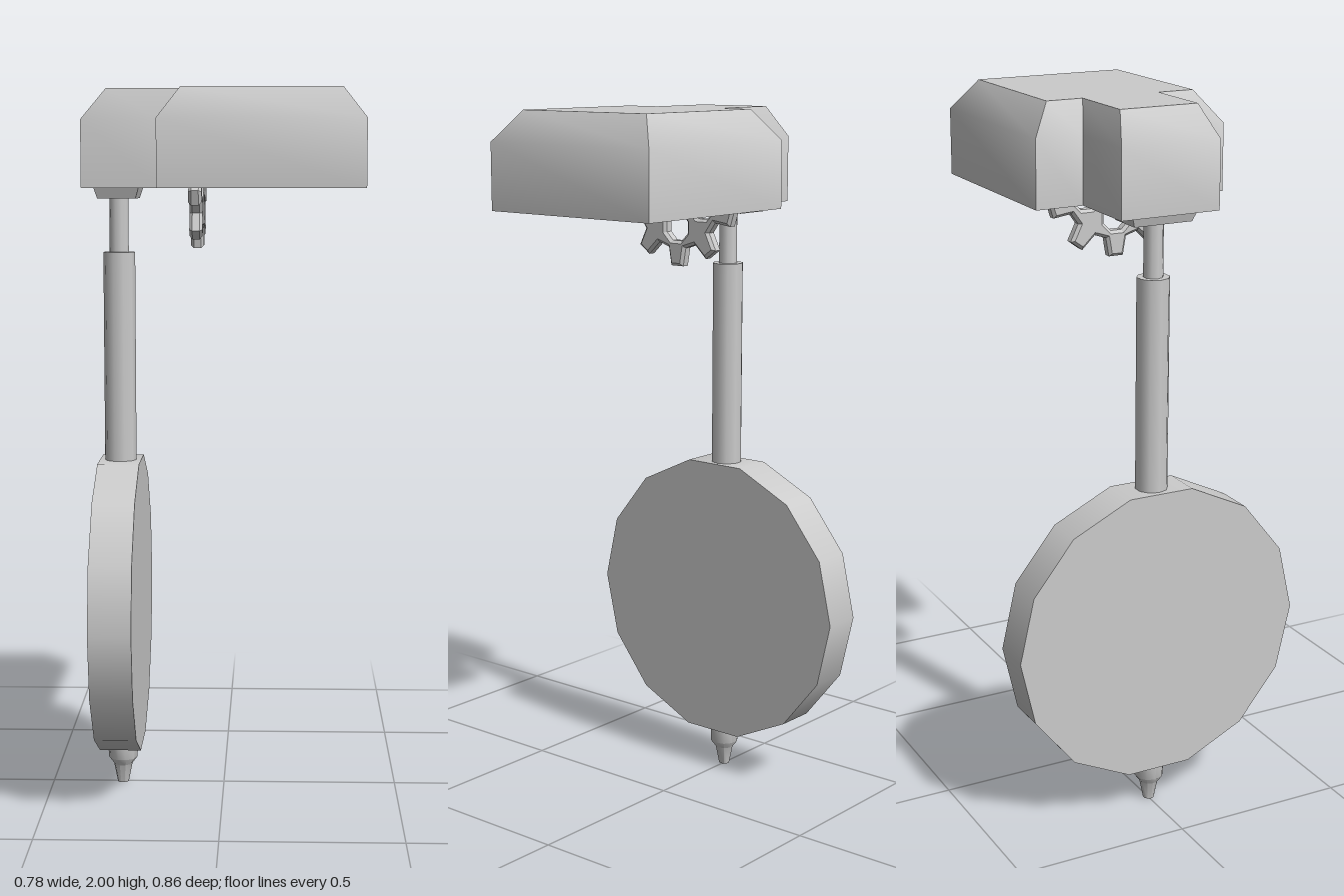
import * as THREE from 'three';
import { toCreasedNormals } from 'three/addons/utils/BufferGeometryUtils.js';

const ROD_X = -0.296;
const Z0 = 0.003;

function makeMesh(name, geometry, x = 0, y = 0, z = 0) {
  const m = new THREE.Mesh(geometry, new THREE.MeshStandardMaterial({ color: 0xcccccc }));
  m.name = name;
  m.position.set(x, y, z);
  return m;
}

// Stacks matching counter-clockwise (x, z) outlines, rings = [[y, outline], ...] from bottom up
function loft(rings, holeRings = null) {
  const pos = [];
  const walls = (list, flip) => {
    for (let k = 0; k + 1 < list.length; k++) {
      const [y0, a] = list[k], [y1, b] = list[k + 1];
      a.forEach((p, i) => {
        const j = (i + 1) % a.length;
        const A = [p[0], y0, p[1]], B = [a[j][0], y0, a[j][1]];
        const C = [b[j][0], y1, b[j][1]], D = [b[i][0], y1, b[i][1]];
        const tris = flip ? [A, B, C, A, C, D] : [A, C, B, A, D, C];
        tris.forEach(v => pos.push(...v));
      });
    }
  };
  const cap = (y, outline, hole, up) => {
    const contour = outline.map(p => new THREE.Vector2(...p));
    const holes = hole ? [hole.map(p => new THREE.Vector2(...p))] : [];
    const all = contour.concat(...holes);
    for (const f of THREE.ShapeUtils.triangulateShape(contour, holes)) {
      const [a, b, c] = f.map(i => all[i]);
      const ccw = (b.x - a.x) * (c.y - a.y) - (b.y - a.y) * (c.x - a.x) > 0;
      const order = ccw === up ? [a, c, b] : [a, b, c];
      order.forEach(v => pos.push(v.x, y, v.y));
    }
  };
  const last = rings.length - 1;
  walls(rings, false);
  if (holeRings) walls(holeRings, true);
  cap(rings[0][0], rings[0][1], holeRings && holeRings[0][1], false);
  cap(rings[last][0], rings[last][1], holeRings && holeRings[holeRings.length - 1][1], true);
  const g = new THREE.BufferGeometry();
  g.setAttribute('position', new THREE.Float32BufferAttribute(pos, 3));
  return toCreasedNormals(g, 0.75);
}

// T-shaped plan: narrow arm on -x, wide block on +x
const plan = (x0, x1, x2, narrow, wide) => [
  [x0, -narrow], [x1, -narrow], [x1, -wide], [x2, -wide],
  [x2, wide], [x1, wide], [x1, narrow], [x0, narrow],
];
const rect = (w, d) => [[-w, -d], [w, -d], [w, d], [-w, d]];

function gearGeometry() {
  const teeth = 10, root = 0.148, tip = 0.197;
  const shape = new THREE.Shape();
  const pts = [];
  for (let i = 0; i < teeth; i++) {
    const a = -Math.PI / 2 + (i / teeth) * Math.PI * 2;
    for (const [da, r] of [[-0.16, root], [-0.075, tip], [0.075, tip], [0.16, root]])
      pts.push(new THREE.Vector2(r * Math.cos(a + da), r * Math.sin(a + da)));
  }
  shape.setFromPoints(pts);
  // Ring of octagonal openings
  for (let i = 0; i < 5; i++) {
    const a = -Math.PI / 2 + (i / 5) * Math.PI * 2;
    const hole = [];
    for (let k = 0; k < 8; k++) {
      const b = -((k + 0.5) / 8) * Math.PI * 2;
      hole.push(new THREE.Vector2(0.095 * Math.cos(a) + 0.05 * Math.cos(b), 0.095 * Math.sin(a) + 0.05 * Math.sin(b)));
    }
    shape.holes.push(new THREE.Path(hole));
  }
  const g = new THREE.ExtrudeGeometry(shape, {
    depth: 0.02, bevelEnabled: true, bevelThickness: 0.008, bevelSize: 0.008, bevelSegments: 1,
  });
  g.translate(0, 0, -0.01);
  g.rotateY(Math.PI / 2);
  return g;
}

export function createModel() {
  const model = new THREE.Group();
  model.name = 'pendulumMechanism';

  // Housing with sloped upper edges
  const lower = plan(-0.388, -0.173, 0.388, 0.144, 0.28);
  const upper = plan(-0.32, -0.111, 0.325, 0.113, 0.218);
  model.add(makeMesh('housing', loft([[1.73, lower], [1.915, lower], [2, upper]]), 0, 0, Z0));

  // Gear showing below the housing
  model.add(makeMesh('gear', gearGeometry(), -0.074, 1.766, Z0));

  // Open frame the pendulum hangs from
  const frame = loft(
    [[1.7, rect(0.053, 0.085)], [1.735, rect(0.064, 0.098)]],
    [[1.7, rect(0.042, 0.07)], [1.735, rect(0.042, 0.07)]],
  );
  model.add(makeMesh('hangerFrame', frame, ROD_X, 0, Z0));

  // Pendulum
  const pendulum = new THREE.Group();
  pendulum.name = 'pendulum';
  pendulum.position.set(ROD_X, 0, Z0);
  const rod = (name, r, y0, y1) => makeMesh(name,
    new THREE.CylinderGeometry(r, r, y1 - y0, 10, 1, false, Math.PI / 2), 0, (y0 + y1) / 2, 0);
  pendulum.add(rod('upperRod', 0.027, 1.54, 1.75), rod('lowerRod', 0.045, 0.9, 1.55));

  const disc = new THREE.CylinderGeometry(0.428, 0.428, 0.118, 14);
  disc.rotateZ(Math.PI / 2);
  pendulum.add(makeMesh('bob', disc, 0, 0.54, 0));

  // Stepped tip below the bob
  const profile = [[0, 0], [0.016, 0], [0.027, 0.055], [0.042, 0.075], [0.045, 0.14]]
    .map(p => new THREE.Vector2(...p));
  const tip = new THREE.LatheGeometry(profile, 10, Math.PI / 2);
  pendulum.add(makeMesh('tip', toCreasedNormals(tip, 0.65)));
  model.add(pendulum);

  return model;
}
